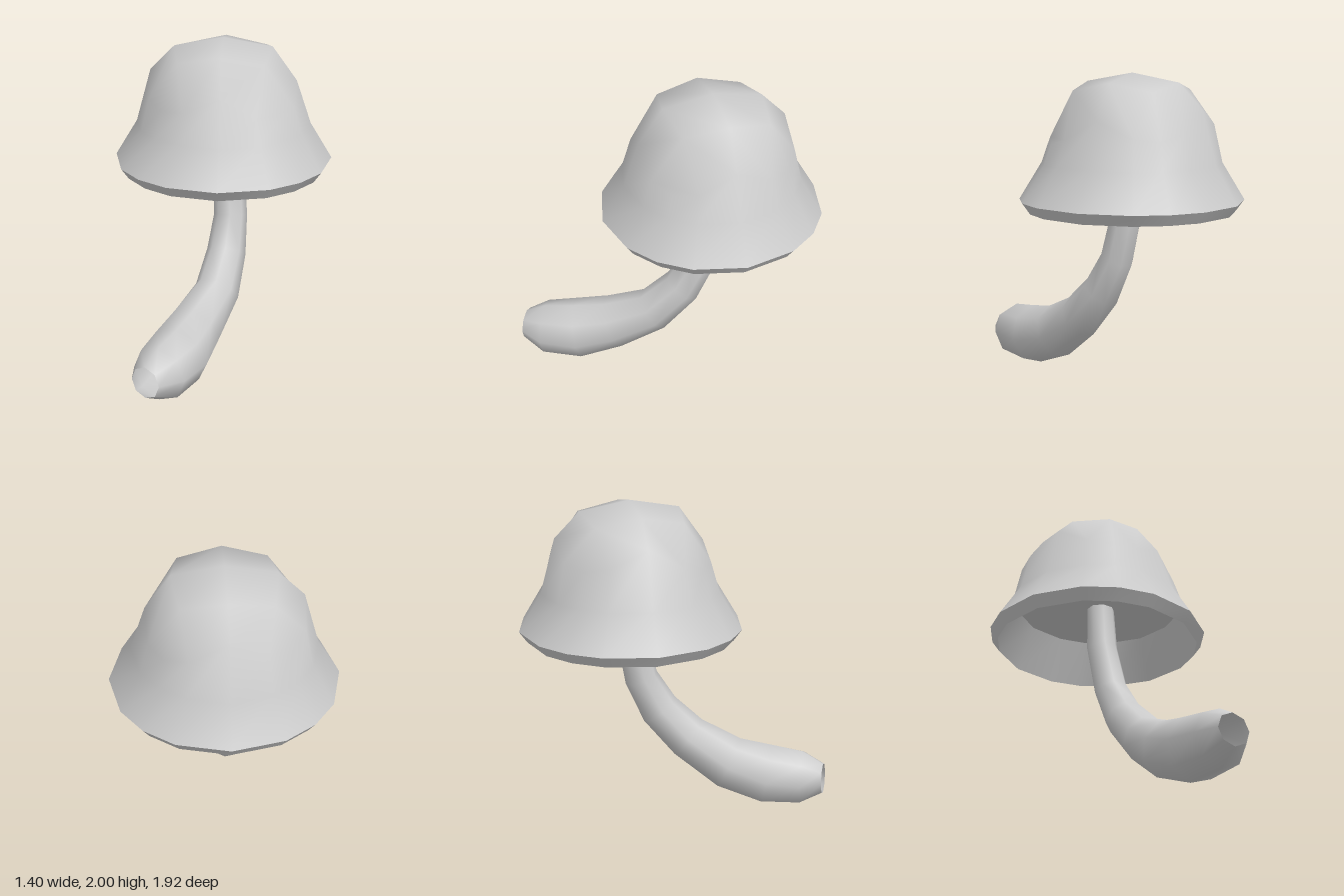
import * as THREE from 'three';
import { mergeVertices, toCreasedNormals } from 'three/addons/utils/BufferGeometryUtils.js';

// Bell-shaped cap: a subdivided box rounded onto a ring profile, hollow underneath
function makeCap() {
  let geo = new THREE.BoxGeometry(2, 4, 2, 4, 4, 4);
  geo.deleteAttribute('normal');
  geo.deleteAttribute('uv');
  geo = mergeVertices(geo);
  // radius and height of the rings: shoulder, waist, flare, rim, inner ceiling
  const rings = [[0.465, 1.76], [0.56, 1.45], [0.70, 1.22], [0.65, 1.15], [0.53, 1.43]];
  const pos = geo.attributes.position;
  for (let i = 0; i < pos.count; i++) {
    const x = pos.getX(i), z = pos.getZ(i);
    const row = Math.round(2 - pos.getY(i));
    const m = Math.max(Math.abs(x), Math.abs(z)); // 1 on the outer wall, below 1 on top and ceiling
    const a = Math.atan2(z, x);
    const corner = Math.abs(Math.sin(2 * a));
    let [r, y] = rings[row];
    if (row === 0) {
      if (m > 0.9) {
        r += 0.05 * corner;
        y -= 0.14 * corner + 0.03 * (Math.cos(a) + Math.sin(a));
      } else if (m > 0.1) {
        r = 0.31 + 0.07 * corner;
        y = 1.945 - 0.05 * corner;
      } else {
        r = 0;
        y = 2;
      }
    } else if (row === 4) r *= m;
    pos.setXYZ(i, r * Math.cos(a), y, r * Math.sin(a));
  }
  return toCreasedNormals(geo, 1.0);
}

// Curved stem: octagonal sections swept along a bent path, swelling towards the foot
function makeStem() {
  const sections = [ // x, y, z, radius
    [0.03, 1.44, -0.26, 0.09], [0.04, 1.15, -0.25, 0.10], [0.052, 0.84, -0.185, 0.108],
    [0.03, 0.62, -0.07, 0.127], [-0.02, 0.425, 0.11, 0.145], [-0.15, 0.27, 0.35, 0.177],
    [-0.235, 0.2, 0.58, 0.2], [-0.325, 0.19, 0.79, 0.178], [-0.395, 0.195, 0.91, 0.1],
  ];
  const sides = 8, verts = [], index = [];
  const centre = sections.map(s => new THREE.Vector3(s[0], s[1], s[2]));
  const last = sections.length - 1;
  centre.forEach((c, i) => {
    const t = centre[Math.min(i + 1, last)].clone().sub(centre[Math.max(i - 1, 0)]).normalize();
    const side = new THREE.Vector3(1, 0, 0).addScaledVector(t, -t.x).normalize();
    const up = t.clone().cross(side);
    for (let j = 0; j < sides; j++) {
      const a = j / sides * Math.PI * 2, r = sections[i][3];
      const p = c.clone().addScaledVector(side, r * Math.cos(a)).addScaledVector(up, r * Math.sin(a));
      verts.push(p.x, p.y, p.z);
      if (i < last) {
        const k = i * sides + j, n = i * sides + (j + 1) % sides;
        index.push(k, n, k + sides, n, n + sides, k + sides);
      }
    }
  });
  const geo = new THREE.BufferGeometry();
  geo.setAttribute('position', new THREE.Float32BufferAttribute(verts, 3));
  geo.setIndex(index);
  geo.computeVertexNormals();
  return geo;
}

export function createModel() {
  const group = new THREE.Group();
  group.name = 'mushroom';

  const cap = new THREE.Mesh(makeCap(), new THREE.MeshStandardMaterial({ color: 0xcccccc }));
  cap.name = 'cap';
  cap.position.z = -0.262;

  // the foot of the stem is left open
  const stem = new THREE.Mesh(makeStem(),
    new THREE.MeshStandardMaterial({ color: 0xcccccc, side: THREE.DoubleSide }));
  stem.name = 'stem';

  group.add(cap, stem);
  return group;
}
